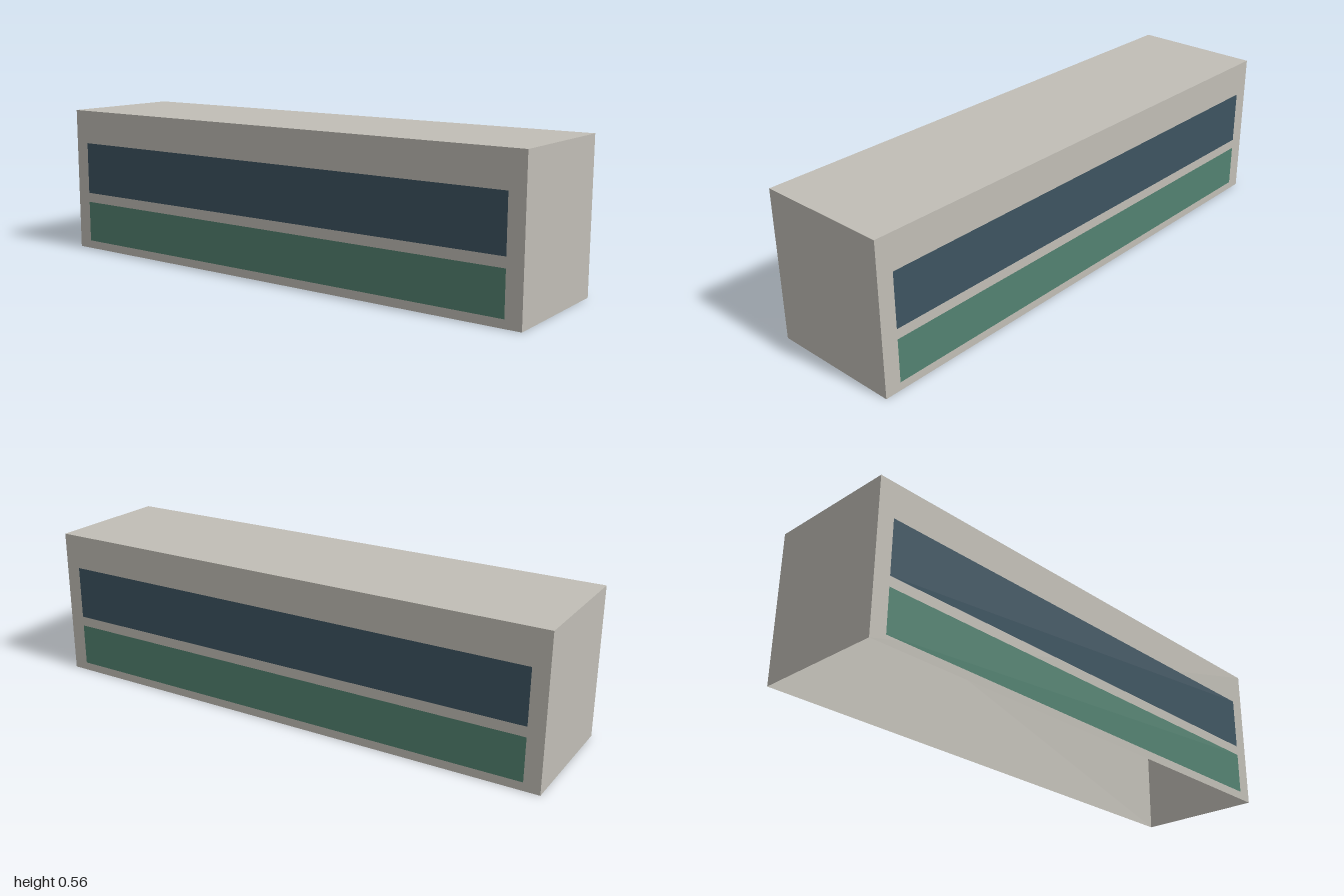
import * as THREE from 'three';

const HALF_W = 0.25, HEIGHT = 0.565, LENGTH = 2;

export function createModel() {
  const group = new THREE.Group();
  const make = (name, color, side = THREE.FrontSide) =>
    Object.assign(new THREE.MeshStandardMaterial({ color, side }), { name });
  const shell = make('warm grey shell', 0xc1beb6, THREE.DoubleSide);
  const glass = make('dark blue glass', 0x3d5461);
  const green = make('green panel', 0x538271);

  // flat panel facing +z before it is turned
  const panel = (name, material, w, h, position, rx, ry) => {
    const mesh = new THREE.Mesh(new THREE.PlaneGeometry(w, h), material);
    mesh.name = name;
    mesh.position.set(...position);
    mesh.rotation.set(rx, ry, 0);
    group.add(mesh);
  };

  // roof; the shell is open underneath
  panel('roof', shell, 2 * HALF_W, LENGTH, [0, HEIGHT, 0], -Math.PI / 2, 0);

  // end walls
  panel('frontWall', shell, 2 * HALF_W, HEIGHT, [0, HEIGHT / 2, LENGTH / 2], 0, 0);
  panel('backWall', shell, 2 * HALF_W, HEIGHT, [0, HEIGHT / 2, -LENGTH / 2], 0, Math.PI);

  // side walls, each with a window band and a lower coloured band
  for (const [label, s] of [['left', 1], ['right', -1]]) {
    const turn = s * Math.PI / 2, out = s * (HALF_W + 0.0015);
    panel(label + 'Wall', shell, LENGTH, HEIGHT, [s * HALF_W, HEIGHT / 2, 0], 0, turn);
    panel(label + 'WindowBand', glass, 1.88, 0.204, [out, 0.332, 0], 0, turn);
    panel(label + 'LowerBand', green, 1.88, 0.161, [out, 0.112, 0], 0, turn);
  }
  return group;
}
